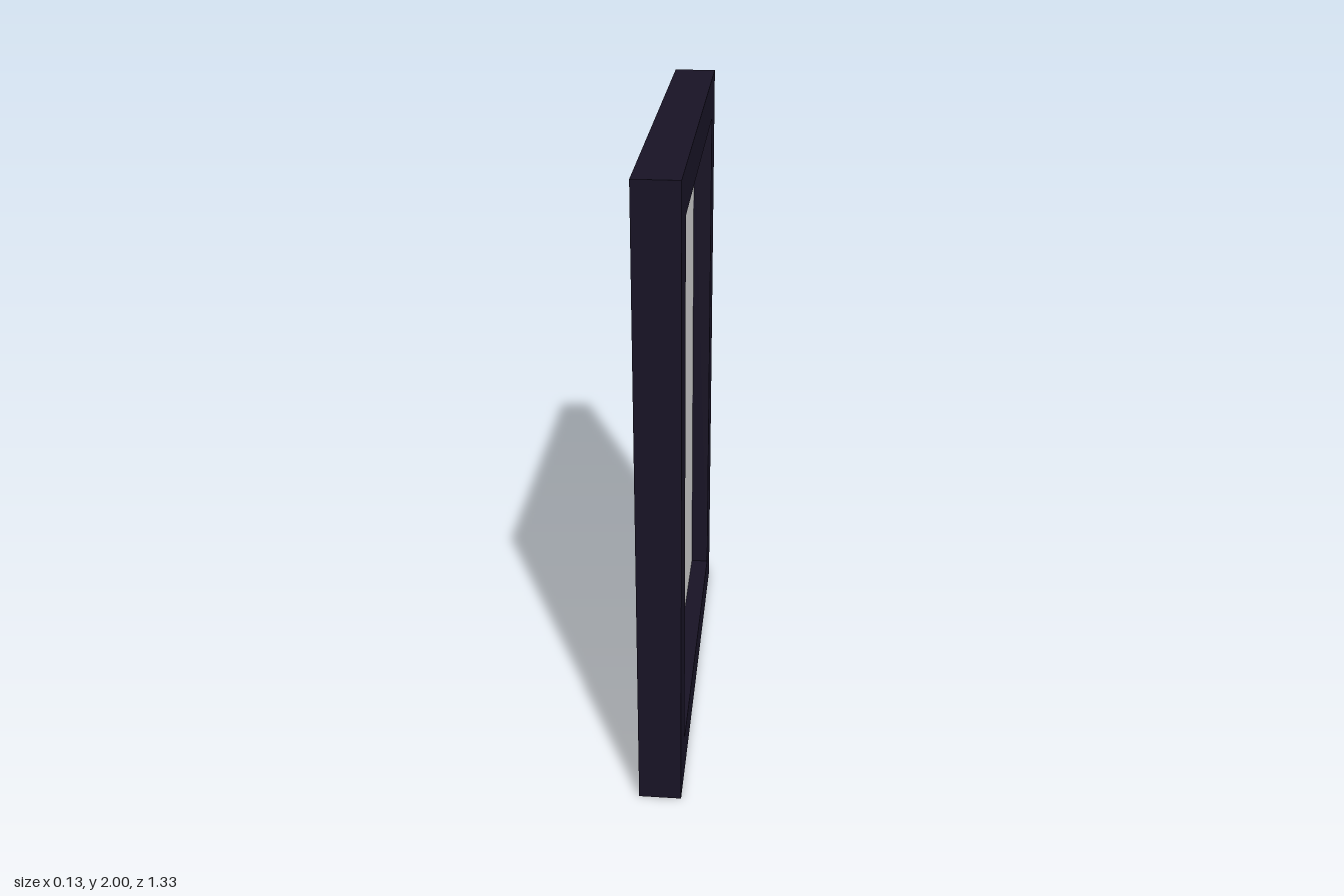
import * as THREE from 'three';
import { mergeGeometries } from 'three/addons/utils/BufferGeometryUtils.js';

const W = 1.333, H = 2, DEPTH = 0.133, BORDER = 0.133;
const FACE = DEPTH / 2;   // plane of the face ring
const PANE = 0.007;       // plane of the recessed panel

// Open rectangular sleeve of four thin walls running from z0 to z1
function sleeve(w, h, z0, z1, inward) {
  const walls = [0, 1, 2, 3].map((k) => {
    const [len, dist] = k % 2 ? [h, w / 2] : [w, h / 2];
    return new THREE.PlaneGeometry(len, z1 - z0)
      .rotateX(inward ? Math.PI / 2 : -Math.PI / 2)
      .translate(0, dist, (z0 + z1) / 2)
      .rotateZ(k * Math.PI / 2);
  });
  return mergeGeometries(walls);
}

function rectPath(path, w, h) {
  path.moveTo(-w / 2, -h / 2);
  path.lineTo(w / 2, -h / 2);
  path.lineTo(w / 2, h / 2);
  path.lineTo(-w / 2, h / 2);
  path.closePath();
  return path;
}

export function createModel() {
  const model = new THREE.Group();
  model.name = 'framedPanel';
  const dark = new THREE.MeshStandardMaterial({ color: 0x181325, side: THREE.DoubleSide });
  const grey = new THREE.MeshStandardMaterial({ color: 0xcccccc, side: THREE.DoubleSide });
  const w = W - 2 * BORDER, h = H - 2 * BORDER;

  const add = (name, geometry, material) => {
    const mesh = new THREE.Mesh(geometry, material);
    mesh.name = name;
    model.add(mesh);
  };

  // Outer walls, open at the rear
  add('outerWalls', sleeve(W, H, -FACE, FACE, false), dark);

  // Flat border around the opening
  const ring = rectPath(new THREE.Shape(), W, H);
  ring.holes.push(rectPath(new THREE.Path(), w, h));
  add('faceBorder', new THREE.ShapeGeometry(ring).translate(0, 0, FACE), dark);

  // Reveal stepping back from the border to the panel
  add('reveal', sleeve(w, h, PANE, FACE, true), dark);

  // Recessed panel
  add('panel', new THREE.PlaneGeometry(w, h).translate(0, 0, PANE), grey);

  // Stand it up with its face towards +x
  model.rotation.y = Math.PI / 2;
  model.position.y = H / 2;
  const root = new THREE.Group();
  root.add(model);
  return root;
}
